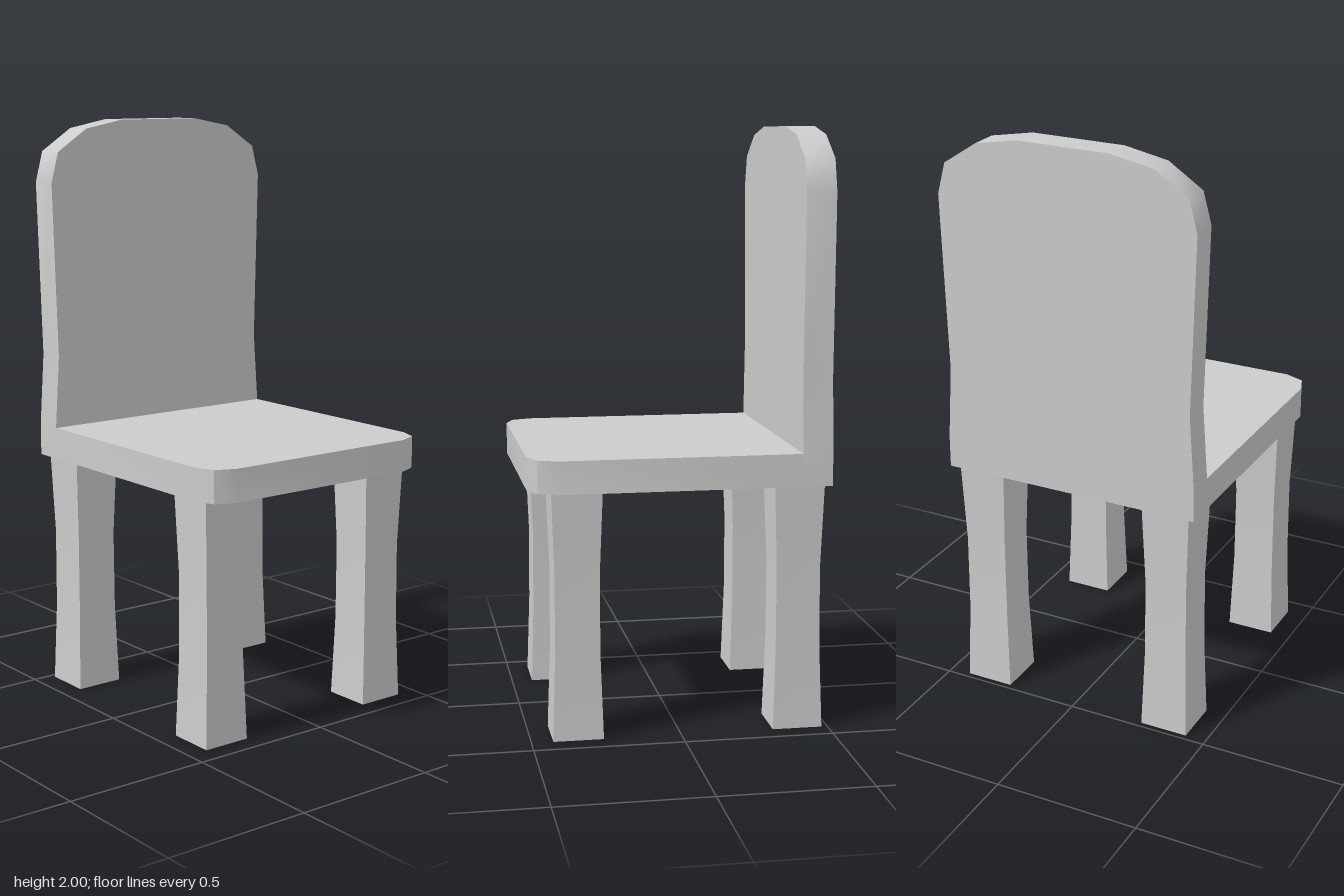
import * as THREE from 'three';
import { toCreasedNormals } from 'three/addons/utils/BufferGeometryUtils.js';

const material = new THREE.MeshStandardMaterial({ color: 0xcccccc });

// Extrudes an outline given by its +x half, mirrored across x = 0
function mirroredSlab(half, depth, crease) {
  const right = half.map(([x, y]) => new THREE.Vector2(x, y));
  const left = half.map(([x, y]) => new THREE.Vector2(-x, y)).reverse();
  const shape = new THREE.Shape([...right, ...left]);
  const geometry = new THREE.ExtrudeGeometry(shape, { depth, bevelEnabled: false });
  return toCreasedNormals(geometry, crease);
}

// Square leg, slightly waisted in the middle
function legGeometry(height) {
  const halfWidths = [0.084, 0.075, 0.074, 0.084];
  const levels = [0, 0.28, 0.55, height];
  const geometry = new THREE.BoxGeometry(2, height, 2, 1, 3, 1);
  const p = geometry.attributes.position;
  for (let i = 0; i < p.count; i++) {
    const row = Math.round((p.getY(i) / height + 0.5) * 3);
    p.setXYZ(i, p.getX(i) * halfWidths[row], levels[row], p.getZ(i) * halfWidths[row]);
  }
  return toCreasedNormals(geometry, 0.8);
}

export function createModel() {
  const chair = new THREE.Group();
  chair.name = 'chair';
  const add = (name, geometry, x, y, z) => {
    const mesh = new THREE.Mesh(geometry, material);
    mesh.name = name;
    mesh.position.set(x, y, z);
    chair.add(mesh);
    return mesh;
  };
  const seatBottom = 0.83, seatTop = 0.94;

  // Seat, clipped at the front corners; outline drawn in x and -z
  const seat = add('seat', mirroredSlab(
    [[0.36, -0.5], [0.428, -0.472], [0.453, -0.405], [0.453, 0.4]],
    seatTop - seatBottom, 0.7), 0, seatBottom, 0);
  seat.rotation.x = -Math.PI / 2;

  // Backrest with a gentle waist and rounded top
  add('backrest', mirroredSlab(
    [[0.453, seatBottom], [0.453, seatTop], [0.436, 1.19], [0.453, 1.79],
      [0.425, 1.895], [0.308, 1.972], [0.16, 2]],
    0.1, 0.8), 0, 0, -0.5);

  // Legs
  const leg = legGeometry(seatBottom);
  for (const [side, x] of [['Left', 0.343], ['Right', -0.343]]) {
    add('front' + side + 'Leg', leg, x, 0, 0.344);
    add('back' + side + 'Leg', leg, x, 0, -0.396);
  }
  return chair;
}
